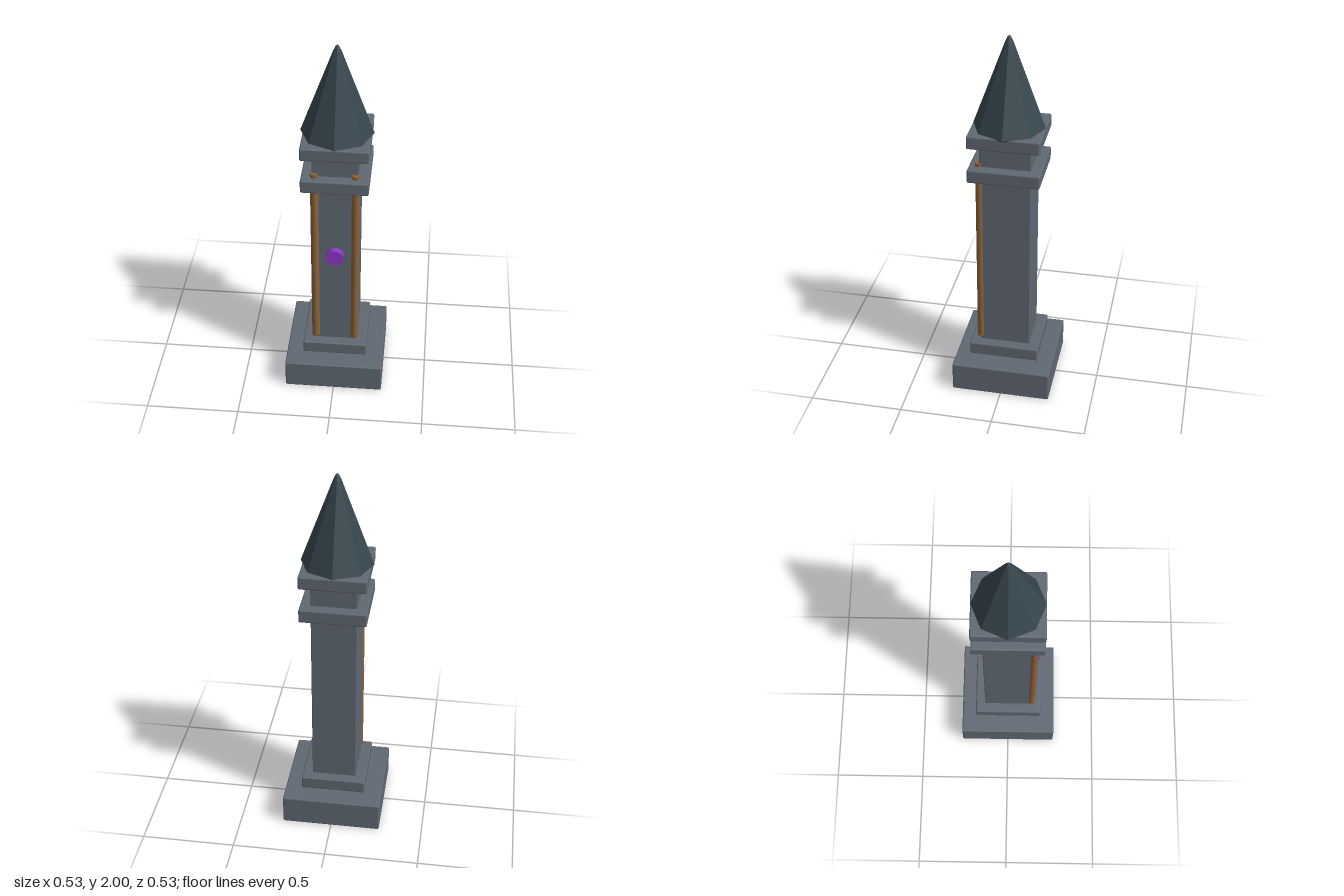
import * as THREE from 'three';
import { RoundedBoxGeometry } from 'three/addons/geometries/RoundedBoxGeometry.js';

export function createModel() {
  const model = new THREE.Group();
  model.name = 'tower';

  const material = (name, color, flatShading = false) => {
    const m = new THREE.MeshStandardMaterial({ color, flatShading });
    m.name = name;
    return m;
  };
  const stone = material('stone', 0x606873);
  const slate = material('slate', 0x37474f, true);
  const bronze = material('bronze', 0x8c6239);
  const purple = material('purple', 0x8e38c6);

  const add = (name, geometry, mat, x = 0, y = 0, z = 0) => {
    const mesh = new THREE.Mesh(geometry, mat);
    mesh.name = name;
    mesh.position.set(x, y, z);
    model.add(mesh);
    return mesh;
  };

  // Stone block between two heights, with softly bevelled edges
  const block = (name, width, depth, y0, y1, bevel = 0.008) =>
    add(name, new RoundedBoxGeometry(width, y1 - y0, depth, 2, bevel), stone, 0, (y0 + y1) / 2);

  block('base', 0.532, 0.534, 0, 0.163);
  block('shaft', 0.238, 0.266, 0.14, 1.47, 0.004);
  block('lowerBand', 0.346, 0.374, 0.184, 0.256);
  block('upperBand', 0.346, 0.374, 1.256, 1.328);
  block('capital', 0.346, 0.374, 1.447, 1.517);

  // Eight-sided spire with a blunted tip
  const profile = [[0, 1.507], [0.18, 1.507], [0.187, 1.515], [0.021, 1.966], [0.009, 1.992], [0, 2]];
  add('spire', new THREE.LatheGeometry(profile.map(([r, y]) => new THREE.Vector2(r, y)), 8), slate);

  // Rods running up the two front corners
  for (const [name, side] of [['leftRod', 1], ['rightRod', -1]]) {
    add(name, new THREE.CylinderGeometry(0.021, 0.021, 1.07, 12), bronze, side * 0.106, 0.81, 0.135);
  }

  // Round gem on the front face
  const gem = add('gem', new THREE.CylinderGeometry(0.046, 0.046, 0.04, 24), purple, 0, 0.835, 0.146);
  gem.rotation.x = Math.PI / 2;

  return model;
}
